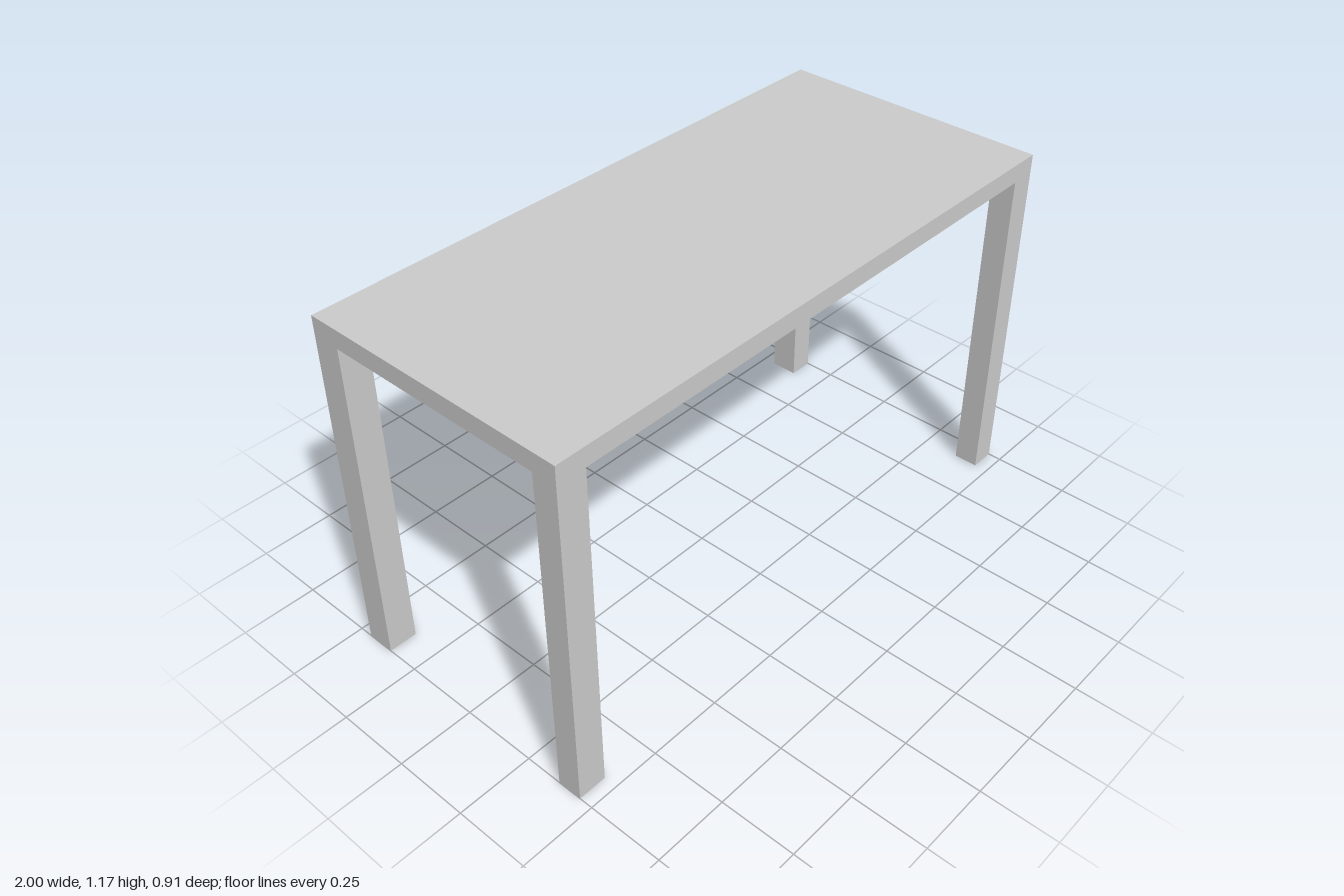
import * as THREE from 'three';

const TOP = 1.173, UNDER = 1.111, HALF_X = 1, HALF_Z = 0.455;

// Square tube with open ends, spanning x0..x1 and z0..z1
function openLeg(x0, x1, z0, z1, height) {
  const geometry = new THREE.BoxGeometry(x1 - x0, height, z1 - z0);
  // Drop the top and bottom faces (index groups 2 and 3)
  const index = Array.from(geometry.index.array);
  geometry.setIndex([...index.slice(0, 12), ...index.slice(24)]);
  geometry.clearGroups();
  geometry.translate((x0 + x1) / 2, height / 2, (z0 + z1) / 2);
  return geometry;
}

export function createModel() {
  const table = new THREE.Group();
  table.name = 'table';
  const solid = new THREE.MeshStandardMaterial({ color: 0xcccccc });
  const open = new THREE.MeshStandardMaterial({ color: 0xcccccc, side: THREE.DoubleSide });

  // Table top
  const top = new THREE.Mesh(new THREE.BoxGeometry(2 * HALF_X, TOP - UNDER, 2 * HALF_Z), solid);
  top.name = 'tableTop';
  top.position.y = (TOP + UNDER) / 2;
  table.add(top);

  // Four hollow legs flush with the corners, open at the floor
  const sidesX = [['Right', -HALF_X, -0.905], ['Left', 0.915, HALF_X]];
  const sidesZ = [['front', 0.374, HALF_Z], ['back', -HALF_Z, -0.36]];
  for (const [side, x0, x1] of sidesX) {
    for (const [end, z0, z1] of sidesZ) {
      const leg = new THREE.Mesh(openLeg(x0, x1, z0, z1, UNDER), open);
      leg.name = `${end}${side}Leg`;
      table.add(leg);
    }
  }
  return table;
}
